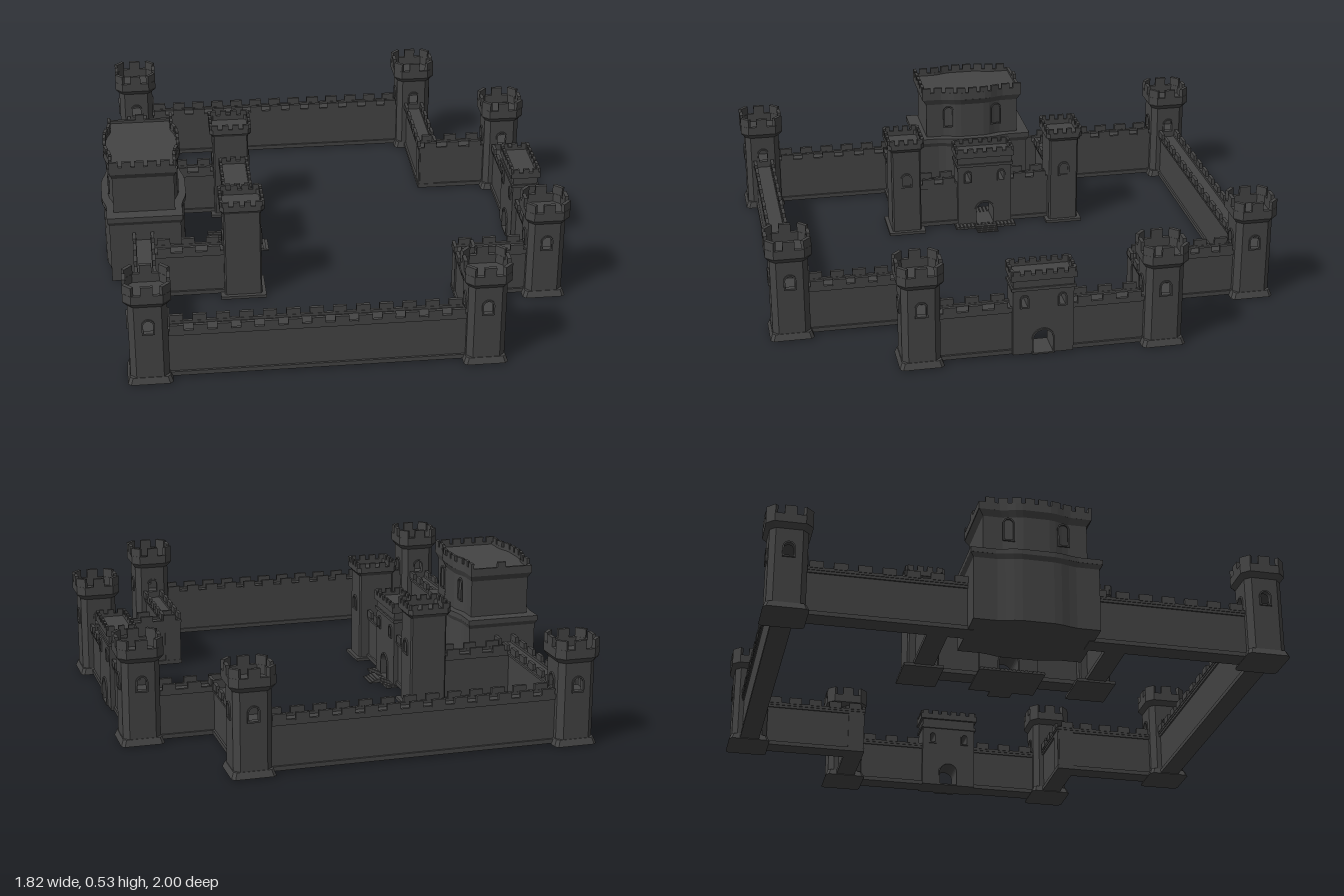
import * as THREE from 'three';
import { mergeGeometries } from 'three/addons/utils/BufferGeometryUtils.js';

const stone = new THREE.MeshStandardMaterial({ color: 0x444444 });
stone.name = 'dark stone';

function part(name, geos) {
  const m = new THREE.Mesh(mergeGeometries(geos.map(g => g.index ? g.toNonIndexed() : g)), stone);
  m.name = name;
  return m;
}
const box = (w, h, d, x, y, z, ry = 0) =>
  new THREE.BoxGeometry(w, h, d).rotateY(ry).translate(x, y + h / 2, z);

// Plan outlines
const toShape = pts => new THREE.Shape(pts.map(p => new THREE.Vector2(p[0], p[1])));
function octagon(a, b, c) {
  return [[a, -b + c], [a, b - c], [a - c, b], [-a + c, b], [-a, b - c], [-a, -b + c], [-a + c, -b], [a - c, -b]];
}
function bulgedPlan(a, b, bulge) {
  const side = [];
  for (let i = 0; i <= 16; i++) {
    const t = i / 8 - 1;
    const k = THREE.MathUtils.smoothstep(0.75 - Math.abs(t), 0.1, 0.5);
    side.push([a + bulge * k, t * b]);
  }
  return [...side, ...side.map(p => [-p[0], -p[1]])];
}

// Upright prism from a plan, optionally hollow or flaring to topScale
function prism(pts, y0, y1, { hole = null, topScale = 1 } = {}) {
  const s = toShape(pts);
  if (hole) s.holes.push(new THREE.Path(hole.map(p => new THREE.Vector2(p[0], p[1]))));
  const g = new THREE.ExtrudeGeometry(s, { depth: y1 - y0, bevelEnabled: false });
  g.rotateX(-Math.PI / 2).translate(0, y0, 0);
  const p = g.attributes.position;
  for (let i = 0; i < p.count; i++) {
    if (p.getY(i) > (y0 + y1) / 2) p.setXYZ(i, p.getX(i) * topScale, p.getY(i), p.getZ(i) * topScale);
  }
  g.computeVertexNormals();
  return g;
}

// Arched opening
function archHole(x, y, w, h) {
  const p = new THREE.Path(), r = w / 2;
  p.moveTo(x - r, y);
  p.lineTo(x + r, y);
  p.lineTo(x + r, y + h - r);
  p.absarc(x, y + h - r, r, 0, Math.PI, false);
  p.lineTo(x - r, y);
  return p;
}
// Slab facing +z with arched openings
function piercedSlab(w, y0, y1, depth, holes) {
  const s = toShape([[-w / 2, y0], [w / 2, y0], [w / 2, y1], [-w / 2, y1]]);
  s.holes.push(...holes.map(h => archHole(...h)));
  return new THREE.ExtrudeGeometry(s, { depth, bevelEnabled: false, curveSegments: 8 }).translate(0, 0, -depth / 2);
}
// Raised arched surround facing +z
function surround(x, y, w, h, rim) {
  const s = new THREE.Shape(archHole(x, y - rim, w + 2 * rim, h + 2 * rim).getPoints(8));
  s.holes.push(archHole(x, y, w, h));
  return new THREE.ExtrudeGeometry(s, { depth: 0.006, bevelEnabled: false });
}
// Evenly spaced merlons along an edge
function merlonRow(p, q, count, size, y, h, t) {
  const dx = q[0] - p[0], dz = q[1] - p[1], out = [];
  for (let i = 0; i < count; i++) {
    const k = (i + 0.5) / count;
    out.push(box(size, h, t, p[0] + dx * k, y, p[1] + dz * k, -Math.atan2(dz, dx)));
  }
  return out;
}

// Chamfered tower with pierced upper room and battlements
function cornerTower(x, z) {
  const g = new THREE.Group();
  g.name = 'cornerTower';
  const r = 0.0725, c = 0.022, t = 0.016, face = 2 * (r - c);
  const outer = octagon(r, r, c), inner = octagon(r - t, r - t, c * 0.7);
  const shaft = [
    prism(octagon(0.084, 0.084, 0.012), 0.005, 0.03, { topScale: 0.89 }),
    prism(outer, 0.01, 0.2),
    prism(outer, 0.29, 0.34),
  ];
  for (let i = 0; i < 4; i++) {
    const a = i * Math.PI / 2;
    shaft.push(piercedSlab(face, 0.2, 0.29, t, [[0, 0.22, 0.036, 0.052]]).translate(0, 0, r - t / 2).rotateY(a));
    shaft.push(surround(0, 0.22, 0.036, 0.052, 0.006).translate(0, 0, r).rotateY(a));
    shaft.push(prism([[r - c, r], [r - c, r - t], [r - t, r - c], [r, r - c]].reverse(), 0.2, 0.29).rotateY(a));
  }
  g.add(part('towerShaft', shaft));
  const R = 0.088, C = 0.03, ring = octagon(R, R, C);
  const crown = [
    prism(outer, 0.33, 0.35, { topScale: R / r }),
    prism(ring, 0.35, 0.385, { hole: octagon(R - 0.014, R - 0.014, C * 0.8) }),
  ];
  const mid = octagon(R - 0.007, R - 0.007, C * 0.9);
  mid.forEach((p, i) => crown.push(...merlonRow(p, mid[(i + 1) % 8], 1, i % 2 ? 0.044 : 0.045, 0.385, 0.035, 0.014)));
  g.add(part('towerCrown', crown));
  g.position.set(x, 0, z);
  return g;
}

// Smaller rectangular tower of the inner ward
function innerTower(x, z) {
  const a = 0.074, b = 0.062, A = 0.087, B = 0.077;
  const geos = [
    box(0.18, 0.012, 0.155, 0, 0, 0),
    prism(octagon(a, b, 0.006), 0, 0.39),
    prism(octagon(a, b, 0.006), 0.375, 0.392, { topScale: 1.17 }),
    prism(octagon(A, B, 0.014), 0.39, 0.412, { hole: octagon(A - 0.012, B - 0.012, 0.01) }),
  ];
  for (const s of [-1, 1]) {
    geos.push(surround(0, 0.22, 0.034, 0.05, 0.007).translate(0, 0, a).rotateY(s * Math.PI / 2));
    geos.push(...merlonRow([-A, s * (B - 0.006)], [A, s * (B - 0.006)], 4, 0.026, 0.412, 0.02, 0.012));
    geos.push(...merlonRow([s * (A - 0.006), -B], [s * (A - 0.006), B], 4, 0.023, 0.412, 0.02, 0.012));
  }
  const m = part('innerTower', geos);
  m.position.set(x, 0, z);
  return m;
}

// Curtain wall with walkway and a parapet on each side
function wall(x1, z1, x2, z2) {
  const L = Math.hypot(x2 - x1, z2 - z1), n = Math.max(2, Math.round(L / 0.085));
  const geos = [
    prism([[-L / 2, -0.039], [L / 2, -0.039], [L / 2, 0.039], [-L / 2, 0.039]], 0.008, 0.025),
    box(L, 0.18, 0.062, 0, 0.008, 0),
    box(L, 0.012, 0.074, 0, 0.18, 0),
  ];
  for (const s of [-1, 1]) {
    geos.push(box(L, 0.012, 0.012, 0, 0.19, s * 0.034));
    geos.push(...merlonRow([-L / 2, s * 0.036], [L / 2, s * 0.036], n, 0.052, 0.198, 0.028, 0.013));
  }
  const m = part('curtainWall', geos);
  m.rotation.y = -Math.atan2(z2 - z1, x2 - x1);
  m.position.set((x1 + x2) / 2, 0, (z1 + z2) / 2);
  return m;
}

// Gatehouse with arched passage, facing +x
function gatehouse(x, name) {
  const holes = [[0, 0.012, 0.075, 0.095], [-0.072, 0.208, 0.022, 0.042], [0.072, 0.208, 0.022, 0.042]];
  const geos = [
    piercedSlab(0.232, 0.008, 0.285, 0.1, holes),
    box(0.245, 0.012, 0.112, 0, 0.275, 0),
    box(0.232, 0.045, 0.1, 0, 0.285, 0),
    box(0.25, 0.012, 0.12, 0, 0.318, 0),
  ];
  for (const s of [-1, 1]) {
    for (const h of holes) geos.push(surround(...h, 0.006).translate(0, 0, 0.05).rotateY(s > 0 ? 0 : Math.PI));
    geos.push(box(0.25, 0.014, 0.012, 0, 0.328, s * 0.054), box(0.012, 0.014, 0.12, s * 0.119, 0.328, 0));
    geos.push(...merlonRow([-0.125, s * 0.054], [0.125, s * 0.054], 6, 0.026, 0.34, 0.018, 0.012));
    geos.push(...merlonRow([s * 0.119, -0.06], [s * 0.119, 0.06], 3, 0.024, 0.34, 0.018, 0.012));
  }
  const m = part(name, geos);
  m.rotation.y = Math.PI / 2;
  m.position.x = x;
  return m;
}

// Great keep: bulged lower storey, ledge, upper storey and battlements
function keep() {
  const g = new THREE.Group();
  g.name = 'keep';
  g.add(part('keepLowerStorey', [
    prism(bulgedPlan(0.142, 0.24, 0.02), 0.01, 0.27),
    prism(bulgedPlan(0.142, 0.24, 0.02), 0.262, 0.28, { topScale: 1.05 }),
    prism(bulgedPlan(0.15, 0.252, 0.02), 0.28, 0.3),
  ]));
  const upper = [prism(bulgedPlan(0.122, 0.2, 0.02), 0.3, 0.475)];
  for (const s of [-1, 1]) for (const z of [-0.105, 0.105]) {
    upper.push(surround(z, 0.352, 0.034, 0.085, 0.006).translate(0, 0, 0.134).rotateY(s * Math.PI / 2));
  }
  g.add(part('keepUpperStorey', upper));
  const crown = [
    prism(bulgedPlan(0.122, 0.2, 0.02), 0.45, 0.475, { topScale: 1.08 }),
    prism(bulgedPlan(0.132, 0.218, 0.02), 0.475, 0.495),
    prism(bulgedPlan(0.132, 0.218, 0.02), 0.495, 0.506, { hole: bulgedPlan(0.12, 0.206, 0.02) }),
  ];
  const edge = toShape(bulgedPlan(0.126, 0.212, 0.02));
  edge.autoClose = true;
  const pts = edge.getSpacedPoints(44);
  for (let i = 0; i + 1 < pts.length; i += 2) {
    const p = pts[i], q = pts[i + 1];
    crown.push(...merlonRow([p.x, p.y], [q.x, q.y], 1, 0.036, 0.506, 0.022, 0.012));
  }
  g.add(part('keepCrown', crown));
  g.position.x = -0.74;
  return g;
}

// Planked platform and steps under the inner gate
function platform() {
  const geos = [box(0.2, 0.006, 0.26, -0.38, 0, 0)];
  for (let i = 0; i < 16; i++) geos.push(box(0.2, 0.006, 0.012, -0.38, 0.005, -0.12 + i * 0.016));
  for (let i = 0; i < 4; i++) geos.push(box(0.05 - i * 0.011, 0.004, 0.09, -0.26 - i * 0.0055, i * 0.004, 0));
  return part('gatePlatform', geos);
}

export function createModel() {
  const castle = new THREE.Group();
  castle.name = 'castle';
  for (const s of [-1, 1]) {
    castle.add(cornerTower(-0.75, s * 0.912), cornerTower(0.5, s * 0.912), cornerTower(0.817, s * 0.462));
    castle.add(innerTower(-0.365, s * 0.34));
    castle.add(
      wall(-0.69, s * 0.912, 0.44, s * 0.912),
      wall(-0.75, s * 0.22, -0.75, s * 0.85),
      wall(0.5, s * 0.425, 0.5, s * 0.85),
      wall(0.463, s * 0.462, 0.755, s * 0.462),
      wall(0.815, s * 0.11, 0.815, s * 0.4),
      wall(-0.72, s * 0.34, -0.43, s * 0.34),
      wall(-0.365, s * 0.11, -0.365, s * 0.285),
    );
  }
  castle.add(gatehouse(0.815, 'outerGatehouse'), gatehouse(-0.365, 'innerGatehouse'), keep(), platform());
  return castle;
}
